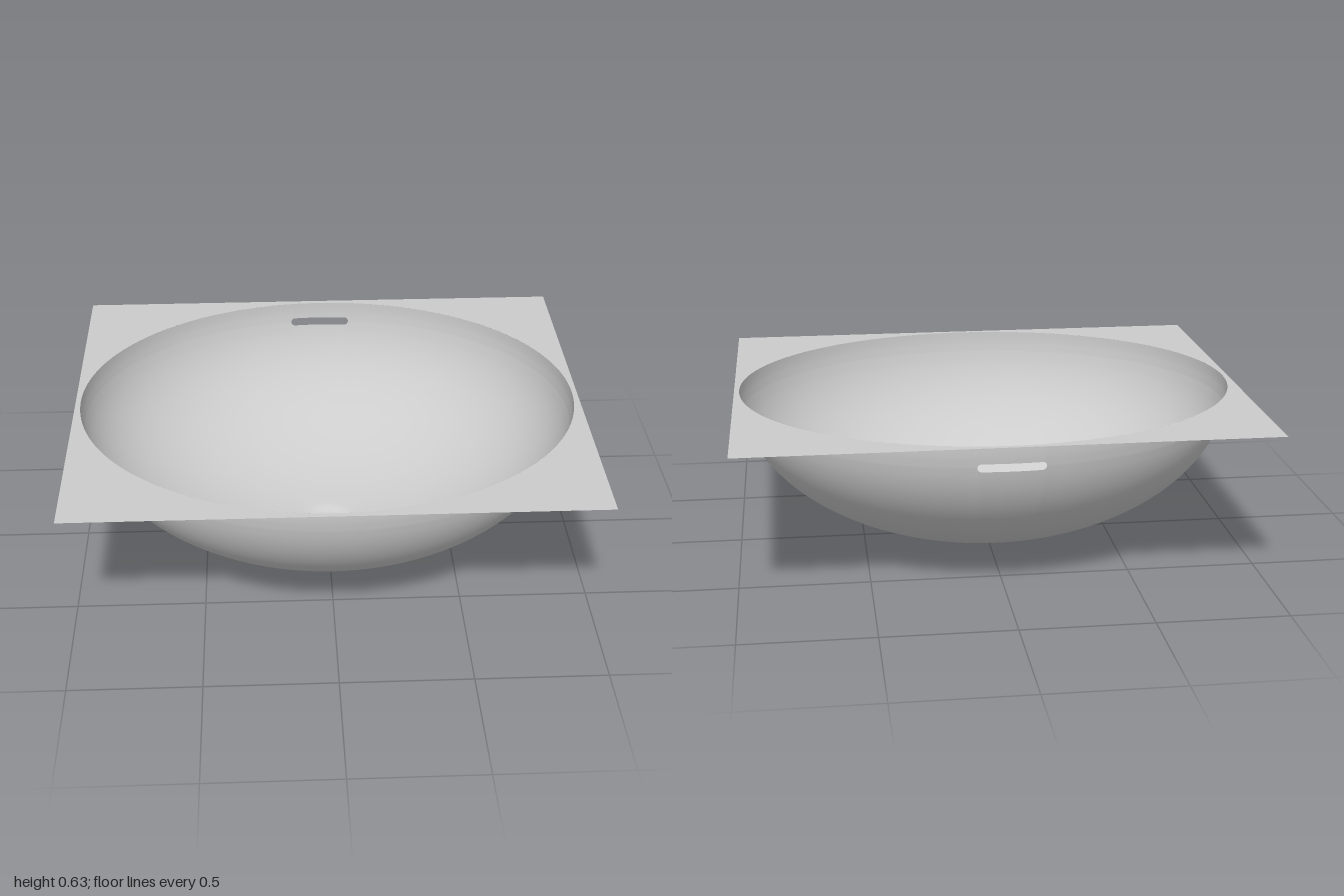
import * as THREE from 'three';

const RX = 0.98, RZ = 0.825, DEPTH = 0.615, TOP = 0.635; // half-ellipsoid bowl
const SLOT = { y: 0.55, w: 0.13, h: 0.016 };             // overflow: height, half angle, half height

const material = () => new THREE.MeshStandardMaterial({ color: 0xcccccc, side: THREE.DoubleSide });

function addMesh(group, name, geometry) {
  const mesh = new THREE.Mesh(geometry, material());
  mesh.name = name;
  group.add(mesh);
}

// Column angles measured from the back; packed tightly at the rounded slot ends
function columnAngles() {
  const half = [0.03, 0.06, 0.09, 0.11, 0.116, 0.121, 0.126, SLOT.w];
  const angles = [...half.map(a => -a).reverse(), 0, ...half];
  const n = 96;
  for (let i = 1; i < n; i++) {
    const a = (i / n) * Math.PI * 2;
    if (a > 0.16 && a < Math.PI * 2 - 0.16) angles.push(a);
  }
  return angles;
}

// Half height of the slot at an angle: a bar with rounded ends
function slotHalf(a) {
  const d = Math.abs(a > Math.PI ? a - Math.PI * 2 : a);
  const over = Math.max(0, (d - (SLOT.w - SLOT.h)) / SLOT.h);
  return SLOT.h * Math.sqrt(Math.max(0.04, 1 - over * over));
}

function bowlGeometry() {
  const angles = columnAngles(), cols = angles.length;
  const rows = [];
  const ellipseRow = heightAt => rows.push(a => {
    const y = heightAt(a), d = (TOP - y) / DEPTH, s = Math.sqrt(1 - d * d);
    return [RX * s * Math.sin(a), y, -RZ * s * Math.cos(a)];
  });
  // wall from the rim past the overflow slot
  for (const y of [TOP, 0.615, 0.595, 0.58]) ellipseRow(() => y);
  const slotRow = rows.length;
  ellipseRow(a => SLOT.y + slotHalf(a));
  ellipseRow(a => SLOT.y - slotHalf(a));
  // rest of the bowl
  for (let i = 0; i <= 32; i++) {
    const t = THREE.MathUtils.lerp(0.19, 1.37, i / 32);
    ellipseRow(() => TOP - DEPTH * Math.sin(t));
  }
  // round lip flowing down to the drain
  for (const [r, y] of [[0.135, 0.026], [0.125, 0.023], [0.115, 0.016], [0.104, 0.008]])
    rows.push(a => [r * Math.sin(a), y, -r * Math.cos(a)]);

  const positions = [], index = [];
  rows.forEach(row => angles.forEach(a => positions.push(...row(a))));
  for (let r = 0; r < rows.length - 1; r++) {
    for (let c = 0; c < cols; c++) {
      if (r === slotRow && c < 16) continue; // open slot
      const c2 = (c + 1) % cols;
      const p = r * cols + c, q = r * cols + c2, s = p + cols, t = q + cols;
      index.push(p, q, s, q, t, s);
    }
  }
  const g = new THREE.BufferGeometry();
  g.setAttribute('position', new THREE.Float32BufferAttribute(positions, 3));
  g.setIndex(index);
  g.computeVertexNormals();
  return g;
}

// Flat rectangular sheet with an oval opening
function counterGeometry() {
  const shape = new THREE.Shape();
  shape.moveTo(-1, -0.845).lineTo(1, -0.845).lineTo(1, 0.845).lineTo(-1, 0.845).closePath();
  const hole = new THREE.Path();
  hole.absellipse(0, 0, RX, RZ, 0, Math.PI * 2, true);
  shape.holes.push(hole);
  return new THREE.ShapeGeometry(shape, 96).rotateX(-Math.PI / 2).translate(0, TOP, 0);
}

export function createModel() {
  const model = new THREE.Group();
  model.name = 'inset basin';
  addMesh(model, 'counter sheet', counterGeometry());
  addMesh(model, 'bowl', bowlGeometry());
  // shallow drain cap closing the bottom
  const cap = [[0, 0], [0.06, 0.0005], [0.085, 0.003], [0.104, 0.008]];
  addMesh(model, 'drain', new THREE.LatheGeometry(cap.map(([r, y]) => new THREE.Vector2(r, y)), 64));
  return model;
}
